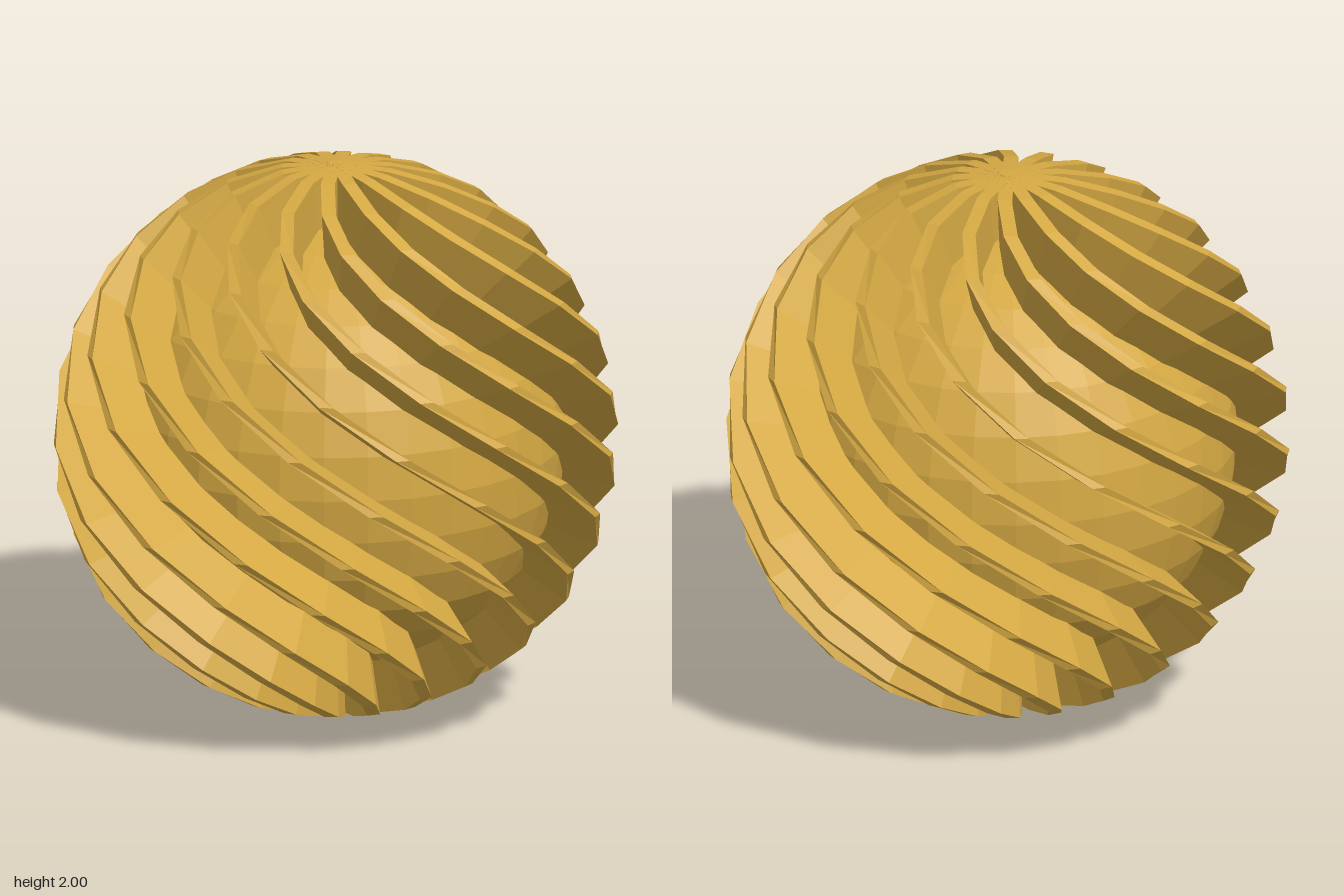
import * as THREE from 'three';

const TWIST = 1.5; // radians of turn per unit of height
const DISCS = 8;   // each disc forms two opposite fins

export function createModel() {
  const model = new THREE.Group();
  model.name = 'twistedFinBall';
  const gold = new THREE.MeshStandardMaterial({ color: 0xd4a843, flatShading: true });

  // faceted inner ball
  const core = new THREE.Mesh(new THREE.SphereGeometry(0.81, 32, 16), gold);
  core.name = 'core';
  model.add(core);

  // thin upright disc, twisted around the vertical axis by height
  const finGeometry = new THREE.CylinderGeometry(1, 1, 0.05, 32).rotateX(Math.PI / 2);
  const up = new THREE.Vector3(0, 1, 0);
  const v = new THREE.Vector3();
  const pos = finGeometry.attributes.position;
  for (let i = 0; i < pos.count; i++) {
    v.fromBufferAttribute(pos, i);
    v.applyAxisAngle(up, -TWIST * v.y);
    pos.setXYZ(i, v.x, v.y, v.z);
  }
  finGeometry.computeVertexNormals();

  // ring of fins
  const fins = new THREE.Group();
  fins.name = 'spiralFins';
  for (let i = 0; i < DISCS; i++) {
    const fin = new THREE.Mesh(finGeometry, gold);
    fin.name = 'finPair' + (i + 1);
    fin.rotation.y = (i * Math.PI) / DISCS;
    fins.add(fin);
  }
  model.add(fins);

  model.position.y = 1;
  const root = new THREE.Group();
  root.name = 'ornament';
  root.add(model);
  return root;
}
